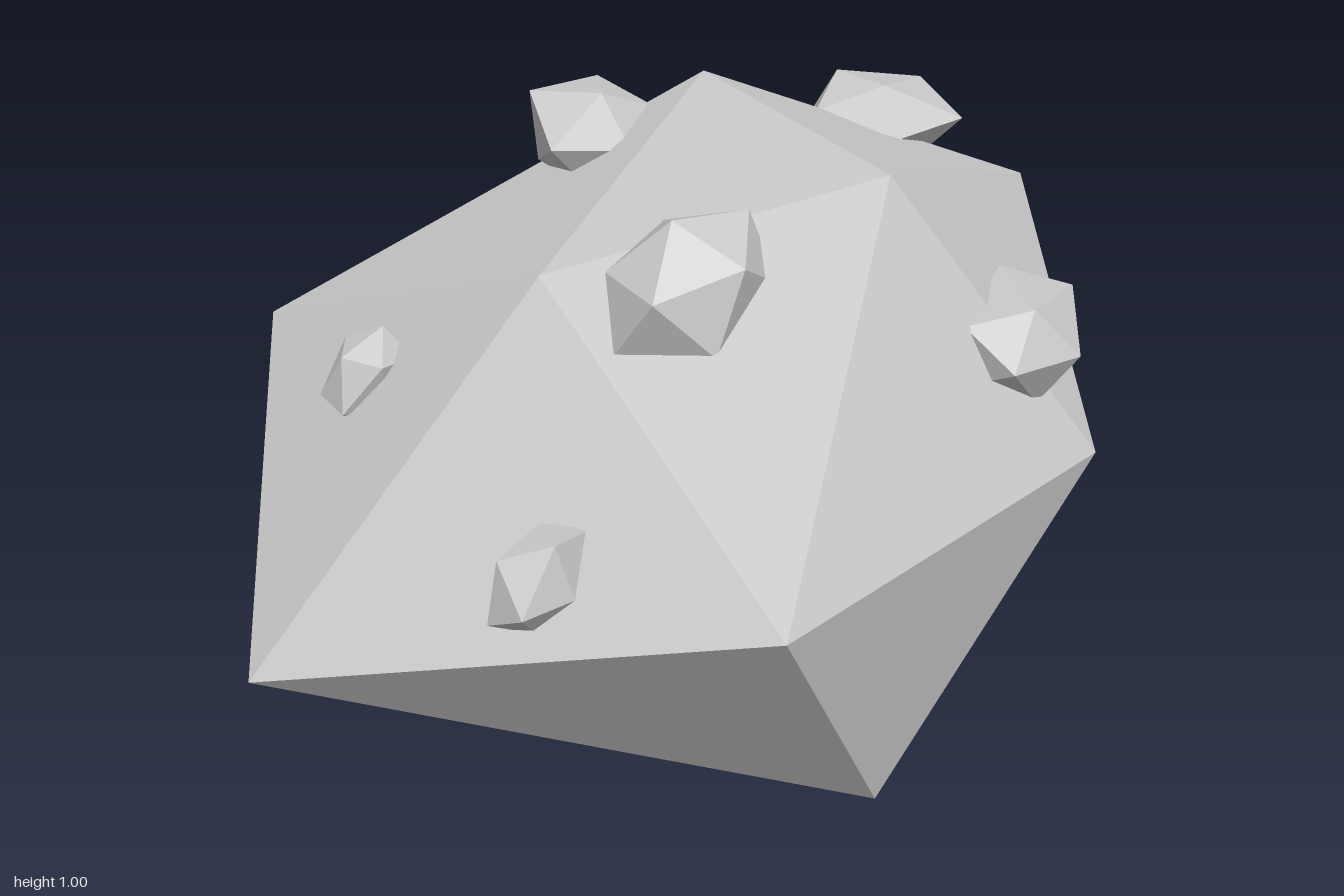
import * as THREE from 'three';

const material = new THREE.MeshStandardMaterial({ color: 0xcccccc, flatShading: true });

// Main boulder: a skewed twenty-sided block
function createBoulder() {
  const corners = {
    A: [0.23, 0.5, 1], B: [0.23, 0.5, -1], C: [0.76, 0.5, 0.35], D: [-0.76, 0.5, -0.18],
    E: [0.39, 1, 0.35], F: [0.07, 1, -0.18], G: [0.66, 0.81, -0.18], H: [-0.19, 0.81, 0.35],
    I: [-0.66, 0.2, 0.67], J: [0.66, 0.2, -0.67], K: [0.39, 0, 0.67], L: [-0.4, 0, -0.67],
  };
  const faces = 'AEH EFH FDH DIH IAH AEC CEG EGF GFB BDF CGJ GBJ BJL BLD DLI ILK KLJ AKI ACK CJK'.split(' ');
  const centre = new THREE.Vector3(0, 0.5, 0);
  const points = [];
  for (const face of faces) {
    const [a, b, c] = [...face].map((key) => new THREE.Vector3(...corners[key]));
    const normal = new THREE.Triangle(a, b, c).getNormal(new THREE.Vector3());
    // Keep every face pointing outwards
    const outward = normal.dot(a.clone().sub(centre)) > 0;
    points.push(a, ...(outward ? [b, c] : [c, b]));
  }
  const geometry = new THREE.BufferGeometry().setFromPoints(points);
  geometry.computeVertexNormals();
  return new THREE.Mesh(geometry, material);
}

// Small faceted stone, stretched along a direction and fitted between two box corners
function createStone(min, max, direction, seed) {
  const geometry = new THREE.IcosahedronGeometry(1, 0);
  const position = geometry.attributes.position;
  const turn = new THREE.Quaternion().setFromUnitVectors(
    new THREE.Vector3(0, 1, 0), new THREE.Vector3(...direction).normalize());
  const p = new THREE.Vector3();
  for (let i = 0; i < position.count; i++) {
    p.fromBufferAttribute(position, i);
    // Smooth uneven swelling, equal for shared corners
    p.multiplyScalar(1 + 0.16 * Math.sin(3 * p.x + 5 * p.y + 4 * p.z + seed * 1.7));
    p.y *= 1.35;
    p.applyQuaternion(turn);
    position.setXYZ(i, p.x, p.y, p.z);
  }
  geometry.center();
  const size = geometry.boundingBox.getSize(new THREE.Vector3());
  geometry.scale(...[0, 1, 2].map((k) => (max[k] - min[k]) / size.getComponent(k)));
  geometry.translate(...[0, 1, 2].map((k) => (max[k] + min[k]) / 2));
  geometry.computeVertexNormals();
  return new THREE.Mesh(geometry, material);
}

export function createModel() {
  const group = new THREE.Group();
  const boulder = createBoulder();
  boulder.name = 'boulder';
  group.add(boulder);

  // Stones half sunk in the boulder: lower corner, upper corner, long direction
  const stones = {
    frontLowStone: [[-0.24, 0.38, 0.65], [-0.08, 0.55, 0.86], [0.5, 1, -0.5]],
    frontTopStone: [[-0.07, 0.74, 0.28], [0.21, 0.97, 0.57], [1, 0.3, -0.3]],
    topStone: [[-0.25, 0.77, -0.32], [-0.02, 0.98, 0], [0.1, 0.1, 1]],
    rightSideStone: [[-0.6, 0.47, 0.14], [-0.43, 0.65, 0.28], [1, 1, 0]],
    leftSideStone: [[0.52, 0.59, 0.14], [0.73, 0.79, 0.47], [0.18, -0.1, -0.3]],
    leftTopStone: [[0.26, 0.78, -0.42], [0.55, 0.97, -0.08], [0.12, -0.08, -0.3]],
    leftBackPebble: [[0.4, 0.58, -0.58], [0.54, 0.72, -0.45], [0.5, 1, 0.4]],
    backStone: [[-0.25, 0.43, -0.85], [0.04, 0.63, -0.58], [1, 0, -1]],
  };
  Object.entries(stones).forEach(([name, [min, max, direction]], i) => {
    const stone = createStone(min, max, direction, i + 1);
    stone.name = name;
    group.add(stone);
  });
  return group;
}
